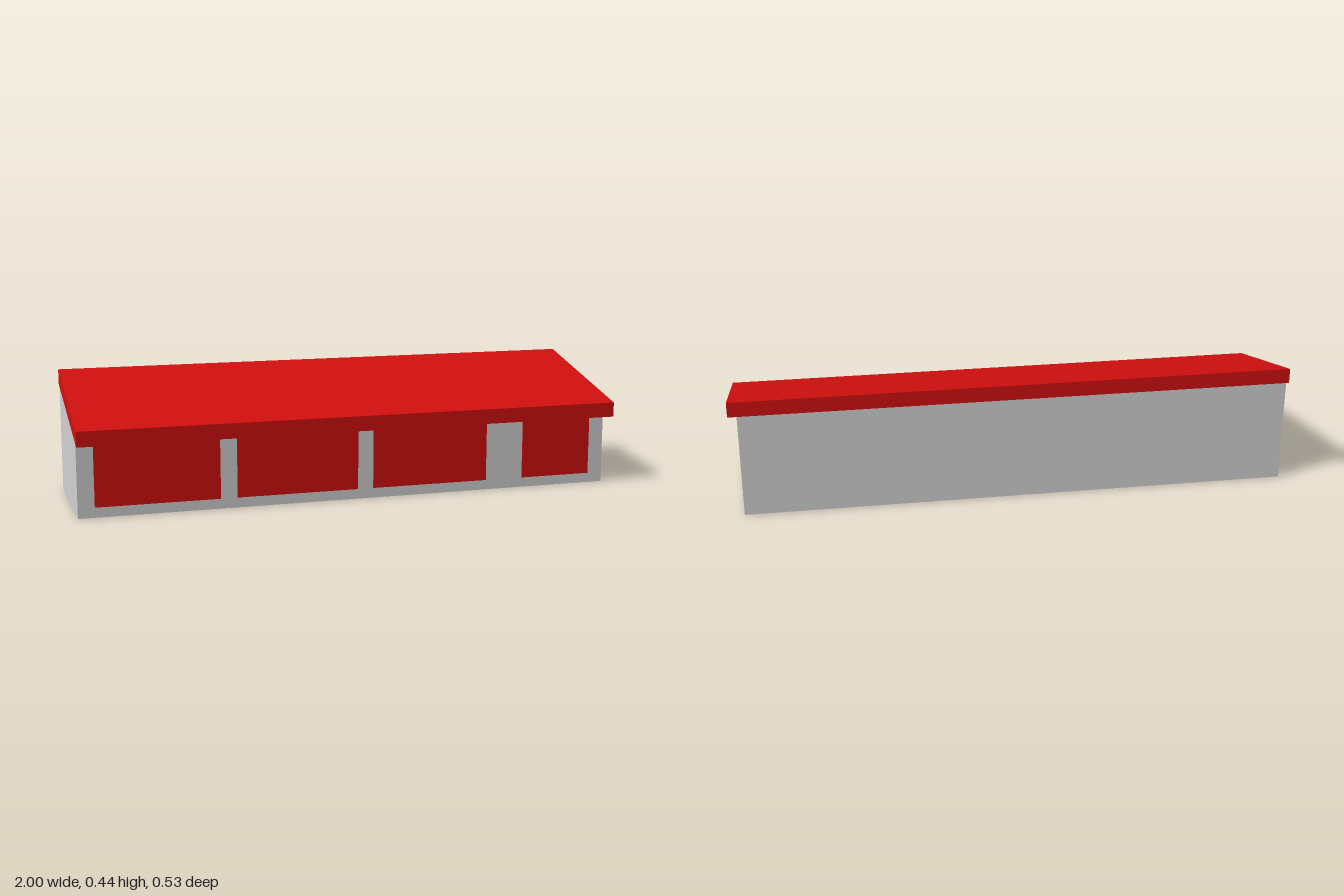
import * as THREE from 'three';

// Height of the roof's underside at depth z
const eaves = (z) => 0.321 - 0.2614 * z;

// Extrudes a [z, y] profile along x from x0 to x1
function extrudeAlongX(profile, x0, x1) {
  const shape = new THREE.Shape(profile.map(([z, y]) => new THREE.Vector2(-z, y)));
  const geometry = new THREE.ExtrudeGeometry(shape, { depth: x1 - x0, bevelEnabled: false });
  return geometry.rotateY(Math.PI / 2).translate(x0, 0, 0);
}

export function createModel() {
  const model = new THREE.Group();
  model.name = 'garageRow';
  const red = new THREE.MeshStandardMaterial({ name: 'red', color: 0xd40f0f });
  const grey = new THREE.MeshStandardMaterial({ name: 'lightGrey', color: 0xd3d3d3 });

  const add = (name, geometry, material) => {
    const mesh = new THREE.Mesh(geometry, material);
    mesh.name = name;
    model.add(mesh);
    return mesh;
  };

  // Walls: a block with a sloping top, set in from the roof on the left end only
  const w = 0.237;
  add('walls', extrudeAlongX([[w, 0], [w, eaves(w)], [-w, eaves(-w)], [-w, 0]], -1, 0.97), grey);

  // Roof: a sloping slab with upright edges
  const r = 0.264, thick = 0.054;
  add('roof', extrudeAlongX([
    [r, eaves(r)], [r, eaves(r) + thick], [-r, eaves(-r) + thick], [-r, eaves(-r)],
  ], -1, 1), red);

  // Doors: three wide and one narrow, thin plates reaching up to the roof
  const bottom = 0.036, top = eaves(w) - 0.001, plate = 0.003;
  [[-0.942, -0.505], [-0.445, -0.002], [0.056, 0.495], [0.64, 0.912]].forEach(([x0, x1], i) => {
    const door = add(i < 3 ? `garageDoor${i + 1}` : 'sideDoor',
      new THREE.BoxGeometry(x1 - x0, top - bottom, plate), red);
    door.position.set((x0 + x1) / 2, (top + bottom) / 2, w + plate / 2);
  });

  return model;
}
